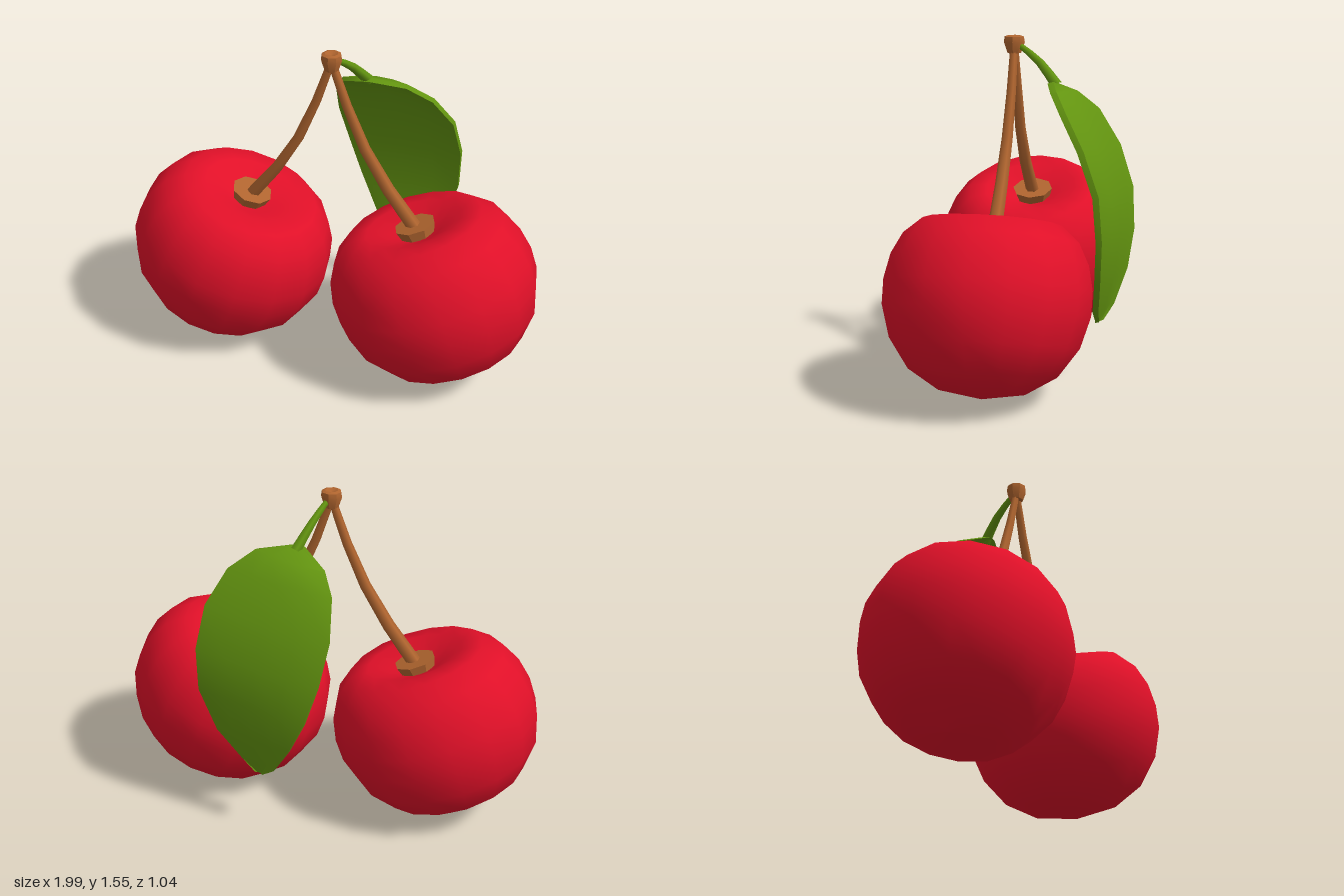
import * as THREE from 'three';
import { toCreasedNormals } from 'three/addons/utils/BufferGeometryUtils.js';

const makeMat = (name, color) => {
  const m = new THREE.MeshStandardMaterial({ color });
  m.name = name;
  return m;
};

const v2 = (list) => list.map(([x, y]) => new THREE.Vector2(x, y));
const v3 = (list) => list.map((p) => new THREE.Vector3(...p));

function mesh(name, geometry, material) {
  const m = new THREE.Mesh(geometry, material);
  m.name = name;
  return m;
}

// Tube whose radius runs from r0 to r1 along its path
function taperedTube(points, r0, r1, segments, sides) {
  const curve = new THREE.CatmullRomCurve3(v3(points));
  const geo = new THREE.TubeGeometry(curve, segments, 1, sides, false);
  const pos = geo.attributes.position;
  const p = new THREE.Vector3();
  for (let i = 0; i <= segments; i++) {
    const c = curve.getPointAt(i / segments);
    const r = r0 + (r1 - r0) * (i / segments);
    for (let j = 0; j <= sides; j++) {
      const k = i * (sides + 1) + j;
      p.fromBufferAttribute(pos, k).sub(c).multiplyScalar(r).add(c);
      pos.setXYZ(k, p.x, p.y, p.z);
    }
  }
  return geo;
}

// Thin curved blade lofted between its two edges
function leafGeometry() {
  const rows = [
    [[0.07, 1.36, -0.16], [0.12, 1.365, -0.16]],
    [[-0.05, 1.3, -0.25], [0.28, 1.34, -0.2]],
    [[-0.11, 1.22, -0.34], [0.39, 1.26, -0.26]],
    [[-0.13, 1.05, -0.44], [0.47, 1.11, -0.35]],
    [[-0.1, 0.86, -0.505], [0.495, 0.92, -0.42]],
    [[-0.04, 0.67, -0.52], [0.485, 0.72, -0.435]],
    [[0.04, 0.5, -0.5], [0.41, 0.51, -0.42]],
    [[0.13, 0.35, -0.45], [0.3, 0.36, -0.4]],
    [[0.2, 0.29, -0.41], [0.24, 0.29, -0.395]],
  ];
  const cols = 5, n = cols * 2, positions = [], index = [];
  const quad = (a, b, c, d) => index.push(a, b, c, a, c, d);
  rows.forEach(([l, r], i) => {
    const bulge = 0.035 * (1 - i / 6);
    const thick = i === rows.length - 1 ? 0.015 : 0.027;
    for (let j = 0; j < n; j++) {
      const front = j < cols;
      const u = (front ? j : n - 1 - j) / (cols - 1);
      const s = 4 * u * (1 - u) * (i === 0 ? 0 : 1);
      positions.push(
        l[0] + (r[0] - l[0]) * u,
        l[1] + (r[1] - l[1]) * u + 0.3 * bulge * s - (front ? 0.3 * thick : 0),
        l[2] + (r[2] - l[2]) * u - bulge * s + (front ? thick : 0)
      );
    }
  });
  const last = rows.length - 1;
  for (let i = 0; i < last; i++) {
    for (let j = 0; j < n; j++) {
      const k = (j + 1) % n;
      quad(i * n + j, (i + 1) * n + j, (i + 1) * n + k, i * n + k);
    }
  }
  // End caps
  for (let j = 0; j < cols - 1; j++) {
    quad(j, j + 1, n - 2 - j, n - 1 - j);
    const e = last * n;
    quad(e + j, e + n - 1 - j, e + n - 2 - j, e + j + 1);
  }
  const geo = new THREE.BufferGeometry();
  geo.setAttribute('position', new THREE.Float32BufferAttribute(positions, 3));
  geo.setIndex(index);
  return toCreasedNormals(geo, 0.7);
}

export function createModel() {
  const red = makeMat('cherryRed', 0xe01028);
  const brown = makeMat('stemBrown', 0xb0652f);
  const green = makeMat('leafGreen', 0x639410);
  const model = new THREE.Group();
  model.name = 'cherryPair';

  // Fruit profile, from the base round to the dimple
  const profile = v2([
    [0, -0.432], [0.2, -0.402], [0.345, -0.318], [0.44, -0.19], [0.483, -0.05], [0.484, 0.06],
    [0.46, 0.17], [0.41, 0.265], [0.325, 0.338], [0.23, 0.345], [0.12, 0.3], [0, 0.265],
  ]);
  const fruitGeo = new THREE.LatheGeometry(profile, 16);
  const capGeo = toCreasedNormals(new THREE.CylinderGeometry(0.098, 0.075, 0.07, 8), 0.6);

  for (const side of [-1, 1]) {
    const label = side < 0 ? 'right' : 'left';
    const z = side < 0 ? 0.04 : 0.06;

    // Fruit leaning towards the middle, with the stem cap in its dimple
    const cherry = new THREE.Group();
    cherry.name = label + 'Cherry';
    const fruit = mesh(label + 'Fruit', fruitGeo, red);
    fruit.scale.z = 0.95;
    const cap = mesh(label + 'StemCap', capGeo, brown);
    cap.position.set(0, 0.3, -0.01);
    cherry.add(fruit, cap);
    cherry.position.set(side * 0.518, 0.452, z);
    cherry.rotation.z = side * 0.336;
    model.add(cherry);

    // Bent stem
    const path = [
      [0, 1.52, 0.042], [side * 0.09, 1.27, 0.042], [side * 0.21, 1.02, 0.045], [side * 0.41, 0.75, z - 0.01],
    ];
    model.add(mesh(label + 'Stem', taperedTube(path, 0.018, 0.033, 4, 6), brown));
  }

  // Knob joining the stems
  const knobProfile = v2([
    [0, 1.475], [0.032, 1.48], [0.049, 1.53], [0.045, 1.555], [0.03, 1.56], [0, 1.548],
  ]);
  const knob = mesh('stemKnob', toCreasedNormals(new THREE.LatheGeometry(knobProfile, 8), 0.6), brown);
  knob.position.z = 0.042;
  model.add(knob);

  // Leaf and its stalk
  const stalk = [[0.01, 1.52, 0.02], [0.05, 1.45, -0.08], [0.1, 1.345, -0.175]];
  model.add(mesh('leafStalk', taperedTube(stalk, 0.013, 0.026, 4, 6), green));
  model.add(mesh('leaf', leafGeometry(), green));
  return model;
}
